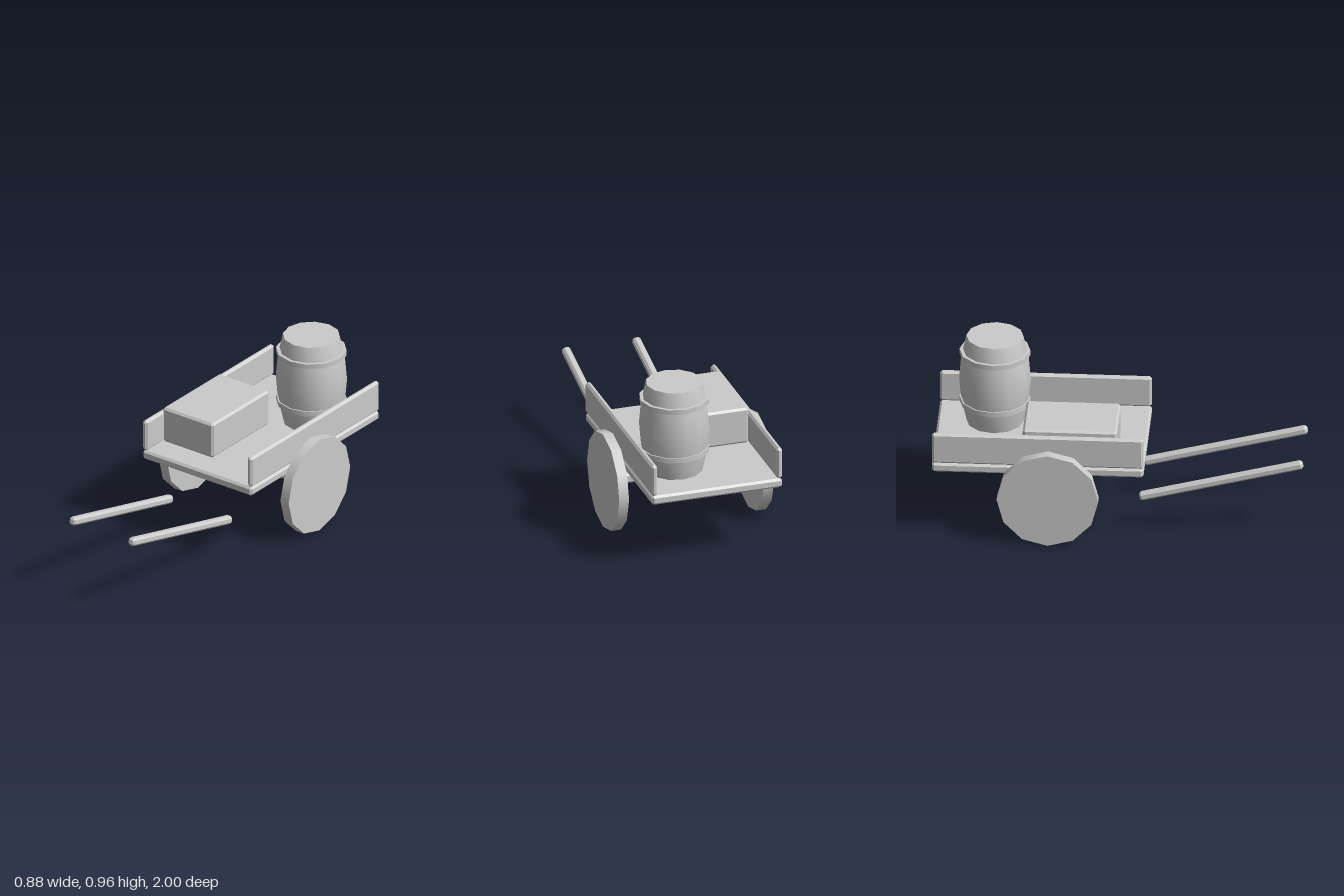
import * as THREE from 'three';
import { toCreasedNormals } from 'three/addons/utils/BufferGeometryUtils.js';
import { ConvexGeometry } from 'three/addons/geometries/ConvexGeometry.js';

const material = new THREE.MeshStandardMaterial({ color: 0xcccccc });
const BEVEL = 0.012;

// Box with single flat chamfers on every edge
function bevelBox(w, h, d, b = BEVEL) {
  const points = [];
  for (const x of [-w / 2, w / 2])
    for (const y of [-h / 2, h / 2])
      for (const z of [-d / 2, d / 2]) {
        const ix = x - Math.sign(x) * b, iy = y - Math.sign(y) * b, iz = z - Math.sign(z) * b;
        points.push(
          new THREE.Vector3(x, iy, iz),
          new THREE.Vector3(ix, y, iz),
          new THREE.Vector3(ix, iy, z)
        );
      }
  return new ConvexGeometry(points);
}

export function createModel() {
  const cart = new THREE.Group();
  cart.name = 'handcart';

  const add = (name, geometry, x, y, z, parent = cart) => {
    const mesh = new THREE.Mesh(geometry, material);
    mesh.name = name;
    mesh.position.set(x, y, z);
    parent.add(mesh);
    return mesh;
  };

  // Bed and axle
  add('bed', bevelBox(0.742, 0.053, 1.145), 0, 0.421, -0.4275);
  add('axle', bevelBox(0.8, 0.057, 0.057), 0, 0.279, -0.37);

  // Mirrored side boards, wheels and pull shafts
  const wheel = new THREE.CylinderGeometry(0.275, 0.275, 0.056, 12).rotateZ(Math.PI / 2);
  const board = bevelBox(0.033, 0.18, 1.145);
  const shaft = bevelBox(0.046, 0.046, 0.912);
  for (const [side, s] of [['left', 1], ['right', -1]]) {
    add(side + 'SideBoard', board, s * 0.3555, 0.538, -0.4275);
    add(side + 'Wheel', wheel, s * 0.4125, 0.276, -0.37);
    add(side + 'Shaft', shaft, s * 0.2, 0.306, 0.555).rotation.x = -0.25;
  }

  // Crate
  add('crate', bevelBox(0.341, 0.207, 0.51), -0.1735, 0.5525, -0.255);

  // Barrel with two hoops
  const barrel = new THREE.Group();
  barrel.name = 'barrel';
  barrel.position.set(0.143, 0.45, -0.69);
  cart.add(barrel);

  const profile = [
    [0, 0], [0.155, 0], [0.183, 0.128], [0.194, 0.257],
    [0.183, 0.386], [0.155, 0.515], [0, 0.515]
  ].map(([r, y]) => new THREE.Vector2(r, y));
  add('barrelBody', toCreasedNormals(new THREE.LatheGeometry(profile, 12), 0.8), 0, 0, 0, barrel);

  const hoop = new THREE.CylinderGeometry(0.192, 0.192, 0.028, 12);
  add('lowerHoop', hoop, 0, 0.129, 0, barrel);
  add('upperHoop', hoop, 0, 0.417, 0, barrel);

  return cart;
}
